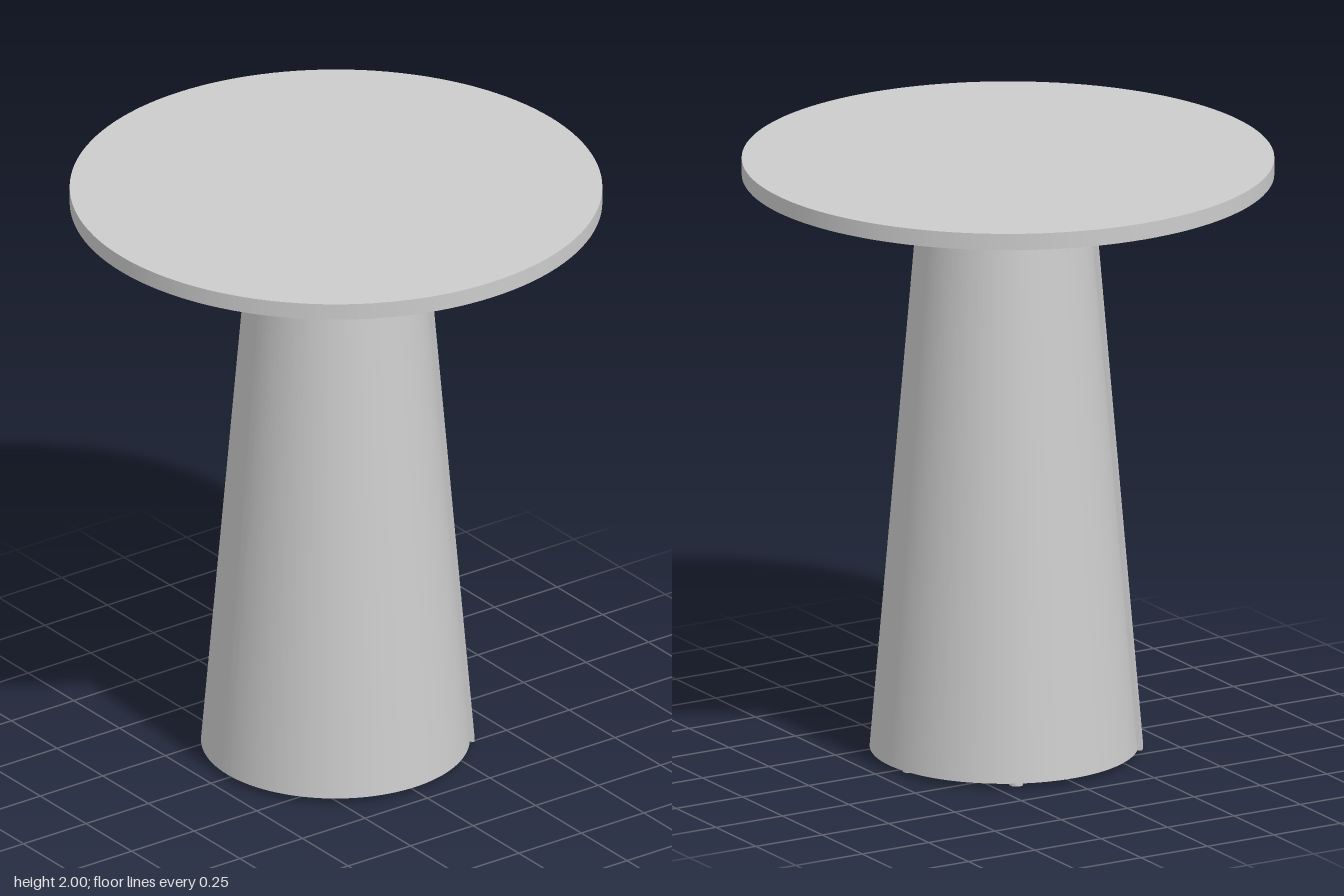
import * as THREE from 'three';
import { toCreasedNormals } from 'three/addons/utils/BufferGeometryUtils.js';

const material = new THREE.MeshStandardMaterial({ color: 0xcccccc });
const SEAM = THREE.MathUtils.degToRad(38.5);
const BASE_Y = 0.017, TOP_Y = 1.945;
const R_BOTTOM = 0.434, R_TOP = 0.27, WALL = 0.017;

function addMesh(parent, name, geometry, x, y, z) {
  const mesh = new THREE.Mesh(geometry, material);
  mesh.name = name;
  mesh.position.set(x, y, z);
  parent.add(mesh);
  return mesh;
}

// Half of a hollow tapered column: a half ring extruded upward, then drawn in toward the top
function halfShell(start) {
  const height = TOP_Y - BASE_Y;
  const ring = new THREE.Shape();
  ring.absarc(0, 0, R_BOTTOM, start, start + Math.PI, false);
  ring.absarc(0, 0, R_BOTTOM - WALL, start + Math.PI, start, true);
  const geometry = new THREE.ExtrudeGeometry(ring, { depth: height, bevelEnabled: false, curveSegments: 64 });
  geometry.rotateX(-Math.PI / 2);
  const p = geometry.attributes.position;
  for (let i = 0; i < p.count; i++) {
    const r = Math.hypot(p.getX(i), p.getZ(i));
    const k = (r - (R_BOTTOM - R_TOP) * p.getY(i) / height) / r;
    p.setX(i, p.getX(i) * k);
    p.setZ(i, p.getZ(i) * k);
  }
  return toCreasedNormals(geometry, 0.5);
}

export function createModel() {
  const table = new THREE.Group();
  table.name = 'pedestalTable';

  // Round top
  addMesh(table, 'tableTop', new THREE.CylinderGeometry(0.86, 0.86, 2 - TOP_Y, 128), 0, (2 + TOP_Y) / 2, 0);

  // Two half shells, slid past each other along the seam so each edge overlaps by a wall
  addMesh(table, 'backShell', halfShell(-SEAM), 0.006, BASE_Y, 0.015);
  addMesh(table, 'frontShell', halfShell(Math.PI - SEAM), -0.006, BASE_Y, 0.005);

  // Six small feet just inside the rim
  for (let i = 0; i < 6; i++) {
    const a = -0.089 + i * Math.PI / 3;
    addMesh(table, 'foot', new THREE.CylinderGeometry(0.0225, 0.0225, 0.025, 24),
      0.013 + 0.377 * Math.cos(a), 0.0125, 0.005 + 0.377 * Math.sin(a));
  }
  return table;
}
